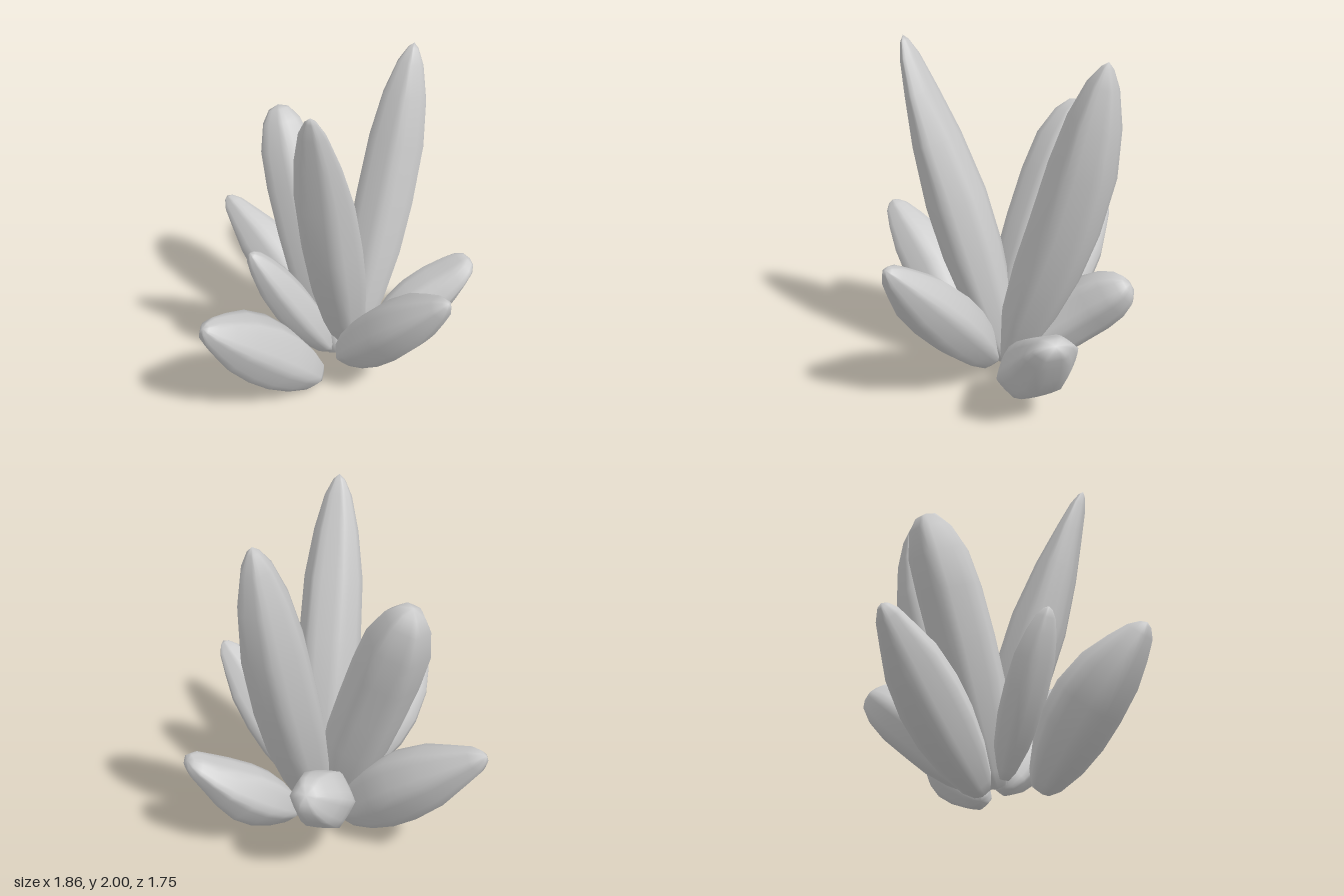
import * as THREE from 'three';
import { mergeVertices } from 'three/addons/utils/BufferGeometryUtils.js';

// Each crystal: name, base, widest point, tip, half width, half depth,
// shoulder and tip radius (relative), and depth left at the tip (below 1 gives a chisel end)
const CRYSTALS = [
  ['rightLowCrystal', [-0.01, 0.04, -0.15], [-0.46, 0.45, -0.24], [-0.925, 0.8, -0.27], 0.18, 0.215, 0.6, 0.24, 0.95],
  ['rightTallCrystal', [0.1, 0.08, -0.11], [-0.28, 1.05, -0.21], [-0.49, 1.585, -0.3], 0.185, 0.205, 0.93, 0.48, 1],
  ['backTallCrystal', [0.14, 0.09, -0.21], [0.13, 1.18, -0.6], [0.14, 1.97, -0.78], 0.195, 0.195, 0.74, 0.23, 1],
  ['frontTallCrystal', [0.13, 0.1, -0.2], [0.205, 1.12, 0.12], [0.275, 2.0, 0.4], 0.19, 0.18, 0.7, 0.24, 0.65],
  ['leftCrystal', [0.16, 0.09, -0.1], [0.56, 0.55, -0.03], [0.92, 0.945, 0.03], 0.205, 0.18, 0.6, 0.22, 1],
  ['frontLowCrystal', [0.12, 0.05, 0.13], [-0.055, 0.47, 0.51], [-0.105, 0.82, 0.86], 0.2, 0.21, 0.66, 0.25, 0.9],
  ['frontSmallCrystal', [0.07, 0.12, -0.07], [-0.11, 0.66, 0.19], [-0.2, 0.98, 0.34], 0.14, 0.135, 0.72, 0.28, 0.9],
  ['backLeftCrystal', [0.25, 0.06, -0.29], [0.445, 0.38, -0.62], [0.63, 0.64, -0.81], 0.18, 0.175, 0.86, 0.5, 0.6],
  ['backRightCrystal', [0.1, 0.1, -0.2], [-0.12, 0.47, -0.59], [-0.14, 0.67, -0.84], 0.165, 0.175, 0.86, 0.45, 1],
];

// Radius along the length: full foot and middle, tapered tip
function profile(shoulder, end) {
  return [
    [0, 0], [0.3, 0.005], [0.52, 0.06], [0.8, 0.2], [0.97, 0.36], [1, 0.52], [0.58 + shoulder / 2, 0.7],
    [shoulder, 0.84], [shoulder * 0.4 + end * 0.6, 0.94], [end * 0.75, 0.985], [0, 1],
  ].map(([r, t]) => new THREE.Vector2(Math.min(r, 1), t));
}

// Hexagon with softened corners, one corner at angle 0
function softHexagon(angle) {
  const sector = Math.PI / 3;
  const a = ((angle % sector) + sector) % sector - sector / 2;
  return THREE.MathUtils.lerp(1, Math.cos(sector / 2) / Math.cos(a), 0.8);
}

function crystalGeometry(base, middle, tip, width, depth, shoulder, end, chisel) {
  const [b, m, e] = [base, middle, tip].map((p) => new THREE.Vector3(...p));
  const path = new THREE.CatmullRomCurve3([b, m, e]);
  const axis = e.clone().sub(b).normalize();
  const side = new THREE.Vector3().crossVectors(axis, new THREE.Vector3(0, 1, 0)).normalize();
  const across = new THREE.Vector3().crossVectors(side, axis);

  // Turn a lathe into a hexagonal prism that follows the path
  const lathe = new THREE.LatheGeometry(profile(shoulder, end), 24);
  lathe.deleteAttribute('uv');
  lathe.deleteAttribute('normal');
  const geometry = mergeVertices(lathe);
  const pos = geometry.attributes.position;
  for (let i = 0; i < pos.count; i++) {
    const x = pos.getX(i), z = pos.getZ(i);
    const t = THREE.MathUtils.clamp(pos.getY(i), 0, 1);
    const k = softHexagon(Math.atan2(z, x));
    const flat = THREE.MathUtils.lerp(1, chisel, THREE.MathUtils.smoothstep(t, 0.45, 0.9));
    const p = path.getPointAt(t);
    p.addScaledVector(side, x * k * width).addScaledVector(across, z * k * depth * flat);
    pos.setXYZ(i, p.x, p.y, p.z);
  }
  geometry.computeVertexNormals();
  return geometry;
}

export function createModel() {
  const group = new THREE.Group();
  group.name = 'crystalCluster';
  const material = new THREE.MeshStandardMaterial({ color: 0xcccccc });
  for (const [name, ...shape] of CRYSTALS) {
    const mesh = new THREE.Mesh(crystalGeometry(...shape), material);
    mesh.name = name;
    group.add(mesh);
  }
  return group;
}
